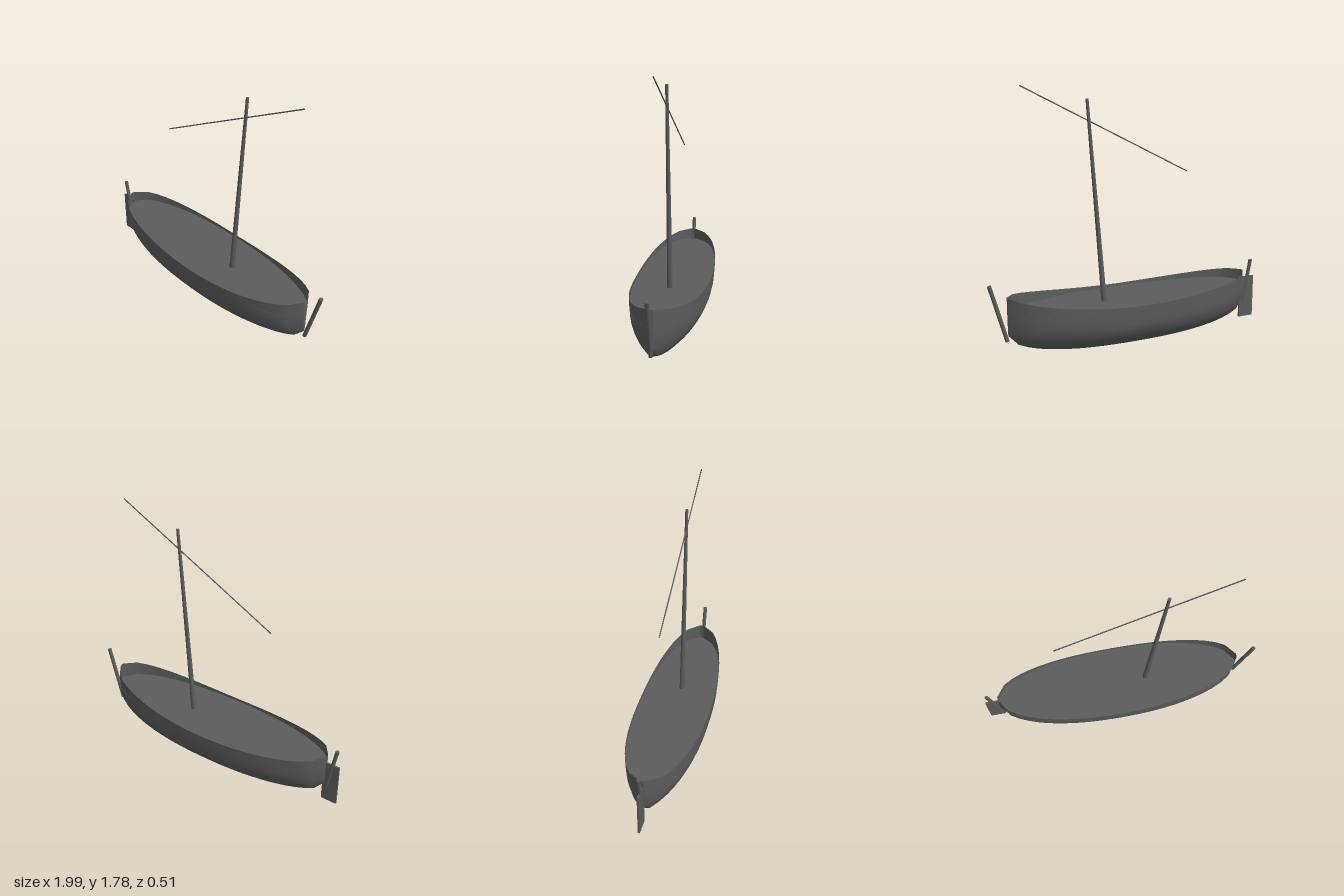
import * as THREE from 'three';

const CENTRE_X = -0.02, HALF_LENGTH = 0.885, STATIONS = 28, HALF_BEAM = 0.256, DECK_Y = 0.305;

// Hull rules, with u running from -1 at the stern to 1 at the bow
const oval = (u, p) => Math.sqrt(Math.max(0, 1 - Math.abs(u) ** p));
const halfWidth = (u) => Math.max(0.012, HALF_BEAM * oval(u, 2.2));
const keelY = (u) => 0.16 * (1 - oval(u, 2.6));
const sheerY = (u) => 0.325 + (u > 0 ? 0.096 : 0.06) * Math.abs(u) ** 1.9;
const stationU = (i) => -1 + (2 * i) / STATIONS;

// Half section from keel to gunwale, as fractions of half width and height
const section = new THREE.SplineCurve([
  [0, 0], [0.25, 0.015], [0.5, 0.1], [0.77, 0.28], [0.94, 0.52], [0.985, 0.78], [1, 1],
].map(([x, y]) => new THREE.Vector2(x, y))).getPoints(18);

function hullGeometry() {
  const loop = [
    ...section.slice().reverse().map((p) => [p.x, p.y]),
    ...section.slice(1).map((p) => [-p.x, p.y]),
  ];
  const row = loop.length, positions = [], index = [];
  for (let i = 0; i <= STATIONS; i++) {
    const u = stationU(i), bottom = keelY(u), top = sheerY(u);
    for (const [w, h] of loop) {
      positions.push(CENTRE_X + u * HALF_LENGTH, bottom + (top - bottom) * h, w * halfWidth(u));
    }
  }
  for (let i = 0; i < STATIONS; i++) {
    for (let j = 0; j < row - 1; j++) {
      const a = i * row + j, b = a + 1, c = a + row, d = c + 1;
      index.push(a, b, c, b, d, c);
    }
  }
  const geometry = new THREE.BufferGeometry();
  geometry.setAttribute('position', new THREE.Float32BufferAttribute(positions, 3));
  geometry.setIndex(index);
  geometry.computeVertexNormals();
  return geometry;
}

// Narrow flat strip closing one end of the hull
function endStripGeometry(u) {
  const bottom = keelY(u), top = sheerY(u), w = halfWidth(u);
  const shape = new THREE.Shape(section.map((p) => new THREE.Vector2(p.x * w, bottom + (top - bottom) * p.y)));
  for (const p of section.slice(1).reverse()) shape.lineTo(-p.x * w, bottom + (top - bottom) * p.y);
  const geometry = new THREE.ShapeGeometry(shape);
  geometry.rotateY(u * Math.PI / 2);
  return geometry.translate(CENTRE_X + u * HALF_LENGTH, 0, 0);
}

function deckGeometry() {
  const points = [];
  for (let i = 0; i <= STATIONS; i++) {
    const u = stationU(i);
    points.push(new THREE.Vector2(CENTRE_X + u * HALF_LENGTH, halfWidth(u) * 0.994));
  }
  const mirrored = points.slice().reverse().map((p) => new THREE.Vector2(p.x, -p.y));
  const geometry = new THREE.ShapeGeometry(new THREE.Shape([...points, ...mirrored]));
  return geometry.rotateX(-Math.PI / 2).translate(0, DECK_Y, 0);
}

export function createModel() {
  const model = new THREE.Group();
  model.name = 'sailingBoat';
  const wood = new THREE.MeshStandardMaterial({ color: 0x5c5c5c });
  wood.name = 'dark grey wood';
  wood.side = THREE.DoubleSide;

  const add = (name, geometry) => {
    const mesh = new THREE.Mesh(geometry, wood);
    mesh.name = name;
    model.add(mesh);
    return mesh;
  };

  // Tapered round spar between two points on the centre plane
  const addSpar = (name, [x0, y0], [x1, y1], r0, r1) => {
    const length = Math.hypot(x1 - x0, y1 - y0);
    const spar = add(name, new THREE.CylinderGeometry(r1, r0, length, 12));
    spar.position.set((x0 + x1) / 2, (y0 + y1) / 2, 0);
    spar.rotation.z = -Math.atan2(x1 - x0, y1 - y0);
  };

  // Hull and deck
  add('hull', hullGeometry());
  add('sternStrip', endStripGeometry(-1));
  add('bowStrip', endStripGeometry(1));
  add('deck', deckGeometry());

  // Rigging
  addSpar('mast', [0.186, 0.29], [0.295, 1.68], 0.019, 0.01);
  addSpar('yard', [-0.436, 1.155], [0.74, 1.78], 0.004, 0.004);

  // End posts and rudder
  addSpar('bowPost', [0.873, 0.125], [0.981, 0.516], 0.014, 0.014);
  addSpar('sternPost', [-0.915, 0.125], [-0.975, 0.455], 0.013, 0.013);
  add('rudder', new THREE.BoxGeometry(0.113, 0.305, 0.014)).position.set(-0.9435, 0.178, 0);

  return model;
}
